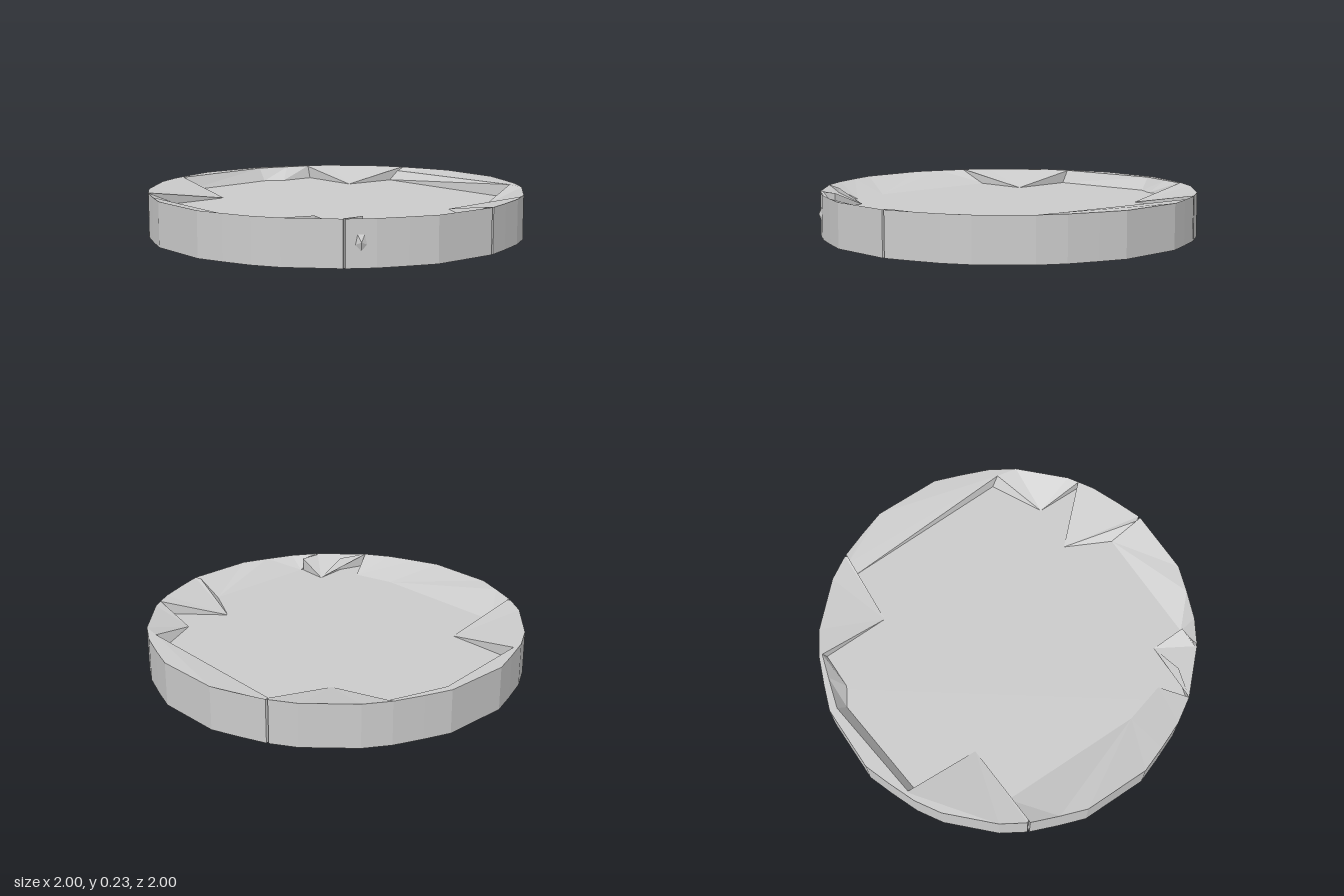
import * as THREE from 'three';

const TOP = 0.235, FLOOR = 0.163;
const material = new THREE.MeshStandardMaterial({ color: 0xcccccc, flatShading: true, side: THREE.DoubleSide });

// Rim outline: one quadrant turned four times, running from +x towards +z
const quadrant = [[1, 0.18], [0.95, 0.32], [0.89, 0.47], [0.81, 0.6], [0.6, 0.81], [0.47, 0.89], [0.32, 0.95], [0.18, 1]];
const rim = [];
for (let q = 0, pts = quadrant; q < 4; q++, pts = pts.map(([x, z]) => [-z, x])) rim.push(...pts);
const N = rim.length;
const seams = [3, 10, 21, 31];

// Rim points at one corner; seam corners get a narrow groove
function corner(i) {
  const p = rim[i % N];
  if (!seams.includes(i % N)) return [p];
  const towards = (q) => {
    const k = 0.006 / Math.hypot(q[0] - p[0], q[1] - p[1]);
    return [p[0] + (q[0] - p[0]) * k, p[1] + (q[1] - p[1]) * k];
  };
  return [towards(rim[(i + N - 1) % N]), [p[0] * 0.985, p[1] * 0.985], towards(rim[(i + 1) % N])];
}

// Raised piece from rim corner a to b. Inner points are [x, z, y, footX, footZ]
function slab(a, b, inner) {
  const outer = [];
  for (let i = a; i <= b; i++) {
    const c = corner(i), mid = c.length >> 1;
    outer.push(...c.slice(i === a ? mid : 0, i === b ? mid + 1 : c.length));
  }
  const pos = [];
  const tri = (...v) => v.forEach((p) => pos.push(...p));
  const R = outer.map(([x, z]) => [x, TOP, z]);
  const I = inner.map(([x, z, y]) => [x, y, z]);
  const feet = inner.map(([x, z, y, fx = x, fz = z]) => [fx, FLOOR, fz]);
  const drop = ([x, , z]) => [x, FLOOR, z];
  // upper surface, zipped between rim and inner edge
  let i = 0, j = 0;
  const n = R.length - 1, m = I.length - 1;
  while (i < n || j < m) {
    if (j === m || (i < n && (i + 0.5) / n <= (j + 0.5) / m)) tri(R[i], I[j], R[++i]);
    else tri(R[i], I[j], I[++j]);
  }
  // outer wall
  for (let k = 0; k < n; k++) {
    const p = R[k], q = R[k + 1];
    tri(p, q, drop(p));
    tri(q, drop(q), drop(p));
  }
  // inner walls down to the floor
  const path = [R[0], ...I, R[n]];
  const base = [drop(R[0]), ...feet, drop(R[n])];
  for (let k = 0; k < path.length - 1; k++) {
    tri(path[k], base[k], path[k + 1]);
    tri(path[k + 1], base[k], base[k + 1]);
  }
  const g = new THREE.BufferGeometry();
  g.setAttribute('position', new THREE.Float32BufferAttribute(pos, 3));
  g.computeVertexNormals();
  return g;
}

export function createModel() {
  const group = new THREE.Group();
  const add = (name, geometry) => {
    const mesh = new THREE.Mesh(geometry, material);
    mesh.name = name;
    group.add(mesh);
    return mesh;
  };

  // base disc, its upper face is the recessed floor
  const outline = rim.flatMap((_, i) => corner(i)).map(([x, z]) => new THREE.Vector2(x, z));
  const base = new THREE.ExtrudeGeometry(new THREE.Shape(outline), { depth: FLOOR, bevelEnabled: false });
  base.rotateX(Math.PI / 2).translate(0, FLOOR, 0);
  add('baseDisc', base);

  // sloping bands and corner pieces around the floor
  const T = TOP, F = FLOOR;
  const pieces = {
    leftBand: [31, 35, [[0.81, -0.17, F], [0.81, 0.47, F]]],
    frontLeftSpike: [3, 4, [[0.8, 0.48, T], [0.63, 0.47, F], [0.65, 0.65, T]]],
    frontBand: [4, 10, [[0.52, 0.66, F], [0.3, 0.72, F], [-0.48, 0.72, F]]],
    frontRightCorner: [10, 13, [[-0.48, 0.41, F], [-0.9, 0.41, T]]],
    rightLedge: [13, 18, [[-0.89, 0.41, T, -0.85, 0.41], [-0.96, -0.17, T, -0.91, -0.17],
      [-0.91, -0.34, T, -0.85, -0.27], [-0.87, -0.47, T, -0.85, -0.47]]],
    backRightCorner: [18, 21, [[-0.48, -0.48, F]]],
    backLedge: [21, 26, [[-0.48, -0.85, 0.215, -0.48, -0.79], [0.49, -0.83, T, 0.45, -0.82]]],
    backLeftCorner: [26, 28, [[0.49, -0.83, T, 0.45, -0.82], [0.59, -0.545, F], [0.84, -0.545, T]]],
    leftWedge: [28, 31, [[0.84, -0.545, T], [0.57, -0.29, F], [0.97, -0.17, T, 0.81, -0.17]]],
  };
  for (const [name, [a, b, inner]] of Object.entries(pieces)) add(name, slab(a, b, inner));

  // small chip standing out of the side wall
  const chip = add('sideChip', new THREE.ConeGeometry(0.05, 0.02, 5).rotateX(Math.PI / 2).scale(0.8, 1.2, 1));
  chip.position.set(0.855, 0.125, 0.535);
  chip.rotation.y = Math.atan2(0.85, 0.53);

  return group;
}
